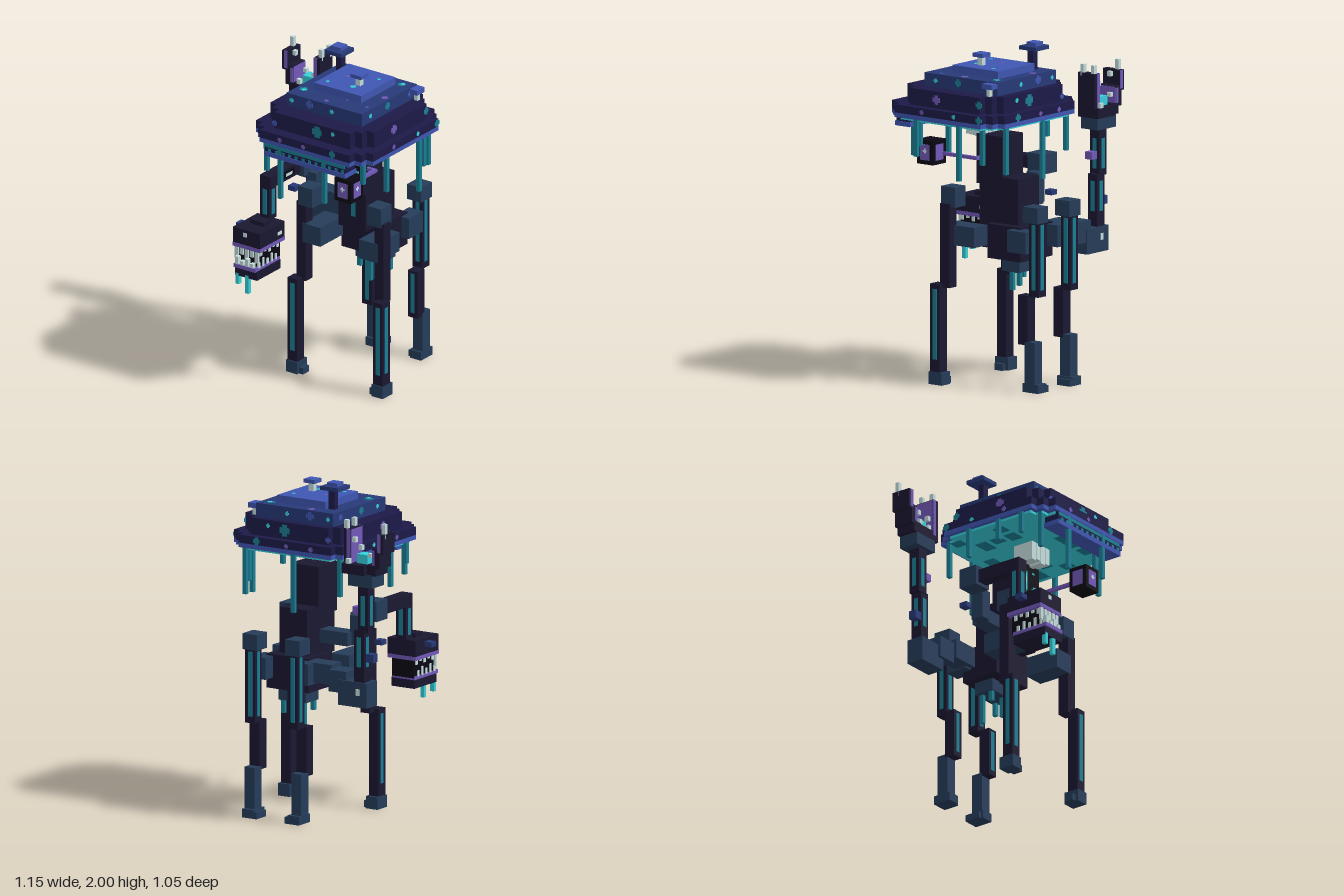
import * as THREE from 'three';

const make = (name, color) => {
  const m = new THREE.MeshStandardMaterial({ color });
  m.name = name;
  return m;
};

export function createModel() {
  const model = new THREE.Group();
  model.name = 'mushroomCreature';
  const navy = make('navy', 0x1c1a48), blue = make('blue', 0x273977), bright = make('brightBlue', 0x3f56b2);
  const dark = make('darkHide', 0x1a1830), slate = make('slate', 0x263c59), teal = make('teal', 0x1a7f94);
  const cyan = make('cyan', 0x37d0da), purple = make('purple', 0x7158b8), pale = make('pale', 0xc6dddd);
  const black = make('black', 0x0a0913);

  const group = (name) => {
    const g = new THREE.Group();
    g.name = name;
    model.add(g);
    return g;
  };
  // box given by its minimum and maximum on each axis
  const box = (g, name, mat, x0, x1, y0, y1, z0, z1) => {
    const m = new THREE.Mesh(new THREE.BoxGeometry(x1 - x0, y1 - y0, z1 - z0), mat);
    m.position.set((x0 + x1) / 2, (y0 + y1) / 2, (z0 + z1) / 2);
    m.name = name;
    g.add(m);
  };
  // slab with corners cut in two square steps
  const slab = (g, name, mat, x0, x1, y0, y1, z0, z1, s) => {
    const w = (x1 - x0) / 2, d = (z1 - z0) / 2;
    const corner = [[w, d - 2 * s], [w - s, d - 2 * s], [w - s, d - s], [w - 2 * s, d - s], [w - 2 * s, d]];
    const rev = [...corner].reverse();
    const pts = [
      ...corner, ...rev.map(([x, y]) => [-x, y]),
      ...corner.map(([x, y]) => [-x, -y]), ...rev.map(([x, y]) => [x, -y]),
    ].map(([x, y]) => new THREE.Vector2(x, y));
    const geo = new THREE.ExtrudeGeometry(new THREE.Shape(pts), { depth: y1 - y0, bevelEnabled: false });
    geo.rotateX(-Math.PI / 2);
    const m = new THREE.Mesh(geo, mat);
    m.position.set((x0 + x1) / 2, y0, (z0 + z1) / 2);
    m.name = name;
    g.add(m);
  };
  // glowing stripes on all four sides of an upright limb
  const stripes = (g, x0, x1, y0, y1, z0, z1, w = 0.03) => {
    const x = (x0 + x1) / 2, z = (z0 + z1) / 2, e = 0.002;
    box(g, 'stripe', teal, x - w / 2, x + w / 2, y0, y1, z0 - e, z1 + e);
    box(g, 'stripe', teal, x0 - e, x1 + e, y0, y1, z - w / 2, z + w / 2);
  };

  // cap in stepped tiers
  const cap = group('cap');
  slab(cap, 'underside', cyan, -0.25, 0.55, 1.565, 1.585, -0.35, 0.45, 0.05);
  slab(cap, 'rim', bright, -0.275, 0.575, 1.58, 1.607, -0.375, 0.475, 0.05);
  slab(cap, 'brim', navy, -0.275, 0.575, 1.607, 1.655, -0.375, 0.475, 0.05);
  slab(cap, 'lowerTier', navy, -0.225, 0.525, 1.655, 1.755, -0.325, 0.4, 0.05);
  box(cap, 'middleTier', blue, -0.125, 0.42, 1.755, 1.835, -0.275, 0.275);
  box(cap, 'topTier', bright, -0.02, 0.32, 1.835, 1.88, -0.2, 0.145);
  box(cap, 'frontDrape', navy, -0.14, 0.44, 1.525, 1.58, 0.37, 0.47);
  box(cap, 'drapeEdge', bright, -0.145, 0.445, 1.5, 1.528, 0.365, 0.475);
  for (let i = 0; i < 12; i++) {
    const x = -0.115 + i * 0.048;
    box(cap, 'drapeSpot', teal, x, x + 0.02, 1.53, 1.548, 0.468, 0.473);
  }
  box(cap, 'drapeBand', teal, -0.14, 0.44, 1.557, 1.578, 0.468, 0.473);
  // darker blotches under the cap
  for (let i = 0; i < 7; i++) {
    for (let j = 0; j < 6; j++) {
      if ((i * 3 + j * 5 + i * j) % 7 > 2) continue;
      const x = -0.2 + i * 0.105, z = -0.29 + j * 0.105, w = 0.07 + 0.02 * ((i + j) % 3);
      box(cap, 'undersideBlotch', teal, x, x + w, 1.562, 1.567, z, z + 0.08);
    }
  }

  // cross-shaped spots on the top: x, z, y, size, colour
  for (const [x, z, y, s, mat] of [[0.05, -0.24, 1.835, 0.04, purple], [0.35, -0.215, 1.835, 0.045, teal],
    [0.358, -0.22, 1.837, 0.028, cyan], [-0.075, 0.175, 1.835, 0.052, teal], [-0.065, 0.185, 1.837, 0.028, cyan],
    [0.135, 0.235, 1.835, 0.026, purple], [0.385, 0, 1.835, 0.04, purple], [0.2, 0.06, 1.88, 0.035, cyan],
    [0.26, -0.115, 1.88, 0.022, cyan], [0.035, 0.085, 1.88, 0.022, cyan], [0.085, -0.04, 1.88, 0.024, purple],
    [0.385, 0.175, 1.835, 0.022, bright], [0.23, 0.16, 1.835, 0.018, bright]]) {
    const h = s / 2, q = s / 4;
    box(cap, 'topSpot', mat, x - h, x + h, y - 0.002, y + 0.002, z - q, z + q);
    box(cap, 'topSpot', mat, x - q, x + q, y - 0.002, y + 0.002, z - h, z + h);
  }
  // cross-shaped spots on the tier walls: position along the wall, y, size, colour
  const wallSpots = (alongX, list) => {
    for (const [u, y, s, mat] of list) {
      const [x0, x1, z0, z1] = y > 1.755 ? [-0.125, 0.42, -0.275, 0.275]
        : y > 1.655 ? [-0.225, 0.525, -0.325, 0.4] : [-0.275, 0.575, -0.375, 0.475];
      for (const [a, b] of [[s / 2, s / 4], [s / 4, s / 2]]) {
        for (const p of alongX ? [z0, z1] : [x0, x1]) {
          if (alongX) box(cap, 'wallSpot', mat, u - a, u + a, y - b, y + b, p - 0.002, p + 0.002);
          else box(cap, 'wallSpot', mat, p - 0.002, p + 0.002, y - b, y + b, u - a, u + a);
        }
      }
    }
  };
  wallSpots(true, [[-0.09, 1.795, 0.026, cyan], [0.04, 1.8, 0.05, bright], [0.2, 1.795, 0.026, cyan],
    [0.185, 1.705, 0.07, teal], [-0.12, 1.685, 0.035, bright], [0.3, 1.72, 0.026, cyan],
    [0.35, 1.63, 0.045, teal], [-0.03, 1.625, 0.03, purple], [0.14, 1.625, 0.026, purple]]);
  wallSpots(false, [[0.1, 1.705, 0.055, purple], [0.02, 1.8, 0.045, teal], [0.19, 1.795, 0.026, cyan],
    [-0.2, 1.8, 0.035, bright], [-0.22, 1.71, 0.045, teal], [-0.26, 1.63, 0.045, teal],
    [0.17, 1.63, 0.03, purple], [-0.07, 1.63, 0.026, cyan]]);

  // small mushrooms growing on the cap
  box(cap, 'sproutStem', navy, -0.07, -0.03, 1.83, 1.955, -0.18, -0.14);
  box(cap, 'sproutBrim', blue, -0.125, 0, 1.955, 1.978, -0.225, -0.1);
  box(cap, 'sproutTop', bright, -0.1, -0.03, 1.978, 2, -0.2, -0.13);
  box(cap, 'sproutStem', pale, 0.195, 0.23, 1.88, 1.93, -0.005, 0.03);
  box(cap, 'sproutTop', bright, 0.175, 0.25, 1.93, 1.953, -0.025, 0.05);
  box(cap, 'cornerSprout', bright, 0.42, 0.475, 1.8, 1.83, -0.275, -0.2);
  box(cap, 'cornerSproutStem', pale, 0.435, 0.46, 1.74, 1.8, -0.25, -0.225);

  // hanging tendrils: x, z, lowest y
  const tendrils = group('tendrils');
  for (const [x, z, y] of [[-0.035, 0.462, 1.25], [0.285, 0.462, 1.3], [-0.26, 0.29, 1.45], [-0.19, 0.38, 1.36],
    [-0.26, 0.12, 1.45], [-0.26, -0.1, 1.4], [0.56, 0.22, 1.36], [0.56, -0.1, 1.25], [0.44, -0.355, 1.3],
    [0.1, -0.355, 1.23], [-0.19, -0.3, 1.35], [0.44, 0.29, 1.4], [0.5, -0.23, 1.35]]) {
    box(tendrils, 'tendril', teal, x - 0.0125, x + 0.0125, y, 1.6, z - 0.0125, z + 0.0125);
  }

  // head, neck and torso
  const body = group('body');
  box(body, 'head', dark, 0.05, 0.245, 1.18, 1.475, -0.17, 0.025);
  box(body, 'face', black, 0.055, 0.24, 1.2, 1.47, 0.02, 0.028);
  box(body, 'neck', dark, 0.05, 0.245, 0.94, 1.235, -0.29, -0.12);
  box(body, 'chest', dark, 0.05, 0.245, 0.94, 1.19, -0.14, 0);
  box(body, 'chestStripe', teal, 0.145, 0.175, 1.02, 1.18, -0.003, 0.003);
  box(body, 'torso', dark, 0, 0.295, 0.755, 0.96, -0.35, -0.1);
  box(body, 'belly', slate, 0.05, 0.245, 0.68, 0.755, -0.3, -0.17);
  for (const [x, z, y] of [[0.085, -0.27, 0.5], [0.185, -0.2, 0.56], [0.22, -0.28, 0.6], [0.07, -0.19, 0.62]]) {
    box(body, 'bellyTendril', teal, x - 0.0125, x + 0.0125, y, 0.7, z - 0.0125, z + 0.0125);
  }
  for (const [x, y, h] of [[0.1, 1.355, 0.075], [0.2, 1.28, 0.05]]) {
    box(body, 'eye', cyan, x - 0.018, x + 0.018, y - h, y + h, 0.026, 0.032);
    box(body, 'eye', cyan, x - 0.03, x + 0.03, y - h + 0.015, y + h - 0.015, 0.026, 0.031);
    box(body, 'eyeGlint', pale, x - 0.012, x + 0.014, y - 0.02, y + 0.02, 0.03, 0.034);
  }
  box(body, 'browSpot', cyan, 0.175, 0.195, 1.41, 1.42, 0.026, 0.031);
  for (let i = 0; i < 4; i++) {
    const x = 0.065 + i * 0.042;
    box(body, 'crest', pale, x, x + 0.038, 1.45 + 0.012 * (i % 2), 1.57, -0.02, 0.115);
  }

  // lantern eye on a stalk
  const lantern = group('lanternEye');
  box(lantern, 'stalk', purple, 0.24, 0.31, 1.33, 1.35, -0.03, -0.01);
  box(lantern, 'stalk', purple, 0.29, 0.31, 1.33, 1.35, -0.03, 0.24);
  box(lantern, 'casing', black, 0.275, 0.395, 1.28, 1.425, 0.23, 0.35);
  box(lantern, 'lens', purple, 0.3, 0.37, 1.305, 1.4, 0.227, 0.353);
  box(lantern, 'lens', purple, 0.272, 0.398, 1.305, 1.4, 0.255, 0.325);
  for (const [a, b] of [[0.005, 0.015], [0.015, 0.005]]) {
    box(lantern, 'glint', pale, 0.335 - a, 0.335 + a, 1.36 - b, 1.36 + b, 0.35, 0.356);
    box(lantern, 'glint', pale, 0.395, 0.401, 1.36 - b, 1.36 + b, 0.29 - a, 0.29 + a);
  }

  // legs, mirrored about the body's middle at x = 0.15
  for (const side of [-1, 1]) {
    const leg = (name) => {
      const g = group(name);
      const span = (a, c) => [0.15 + side * a, 0.15 + side * c].sort((p, q) => p - q);
      return [(part, mat, a, c, ...r) => box(g, part, mat, ...span(a, c), ...r), (a, c, ...r) => stripes(g, ...span(a, c), ...r)];
    };
    const [f] = leg('frontLeg');
    f('hip', slate, 0.14, 0.27, 0.83, 0.95, -0.1, 0.125);
    f('knee', slate, 0.2, 0.3, 1.06, 1.18, 0.02, 0.125);
    f('upperLeg', dark, 0.25, 0.315, 0.58, 1.08, 0.05, 0.12);
    f('lowerLeg', dark, 0.275, 0.345, 0.05, 0.6, 0.1, 0.17);
    f('frontStripe', teal, 0.295, 0.325, 0.14, 0.57, 0.165, 0.172);
    f('outerStripe', teal, 0.34, 0.347, 0.15, 0.57, 0.12, 0.15);
    f('foot', slate, 0.27, 0.35, 0, 0.075, 0.08, 0.178);
    f('toe', slate, 0.24, 0.27, 0, 0.04, 0.1, 0.16);
    const [k, ks] = leg('backLeg');
    k('hip', slate, 0.1, 0.2, 0.82, 0.95, -0.43, -0.29);
    k('hipCap', slate, 0.1, 0.2, 1.01, 1.105, -0.52, -0.41);
    k('upperLeg', dark, 0.115, 0.185, 0.57, 1.03, -0.515, -0.445);
    ks(0.115, 0.185, 0.61, 1.0, -0.515, -0.445);
    k('middleLeg', dark, 0.13, 0.2, 0.28, 0.575, -0.445, -0.375);
    k('stripe', teal, 0.15, 0.18, 0.31, 0.56, -0.38, -0.373);
    k('lowerLeg', slate, 0.13, 0.2, 0.03, 0.3, -0.5, -0.425);
    k('foot', slate, 0.12, 0.2, 0, 0.052, -0.525, -0.41);
    k('toe', slate, 0.1, 0.12, 0, 0.04, -0.525, -0.425);
  }

  // arm ending in a toothed jaw
  const jaw = group('jawArm');
  box(jaw, 'shoulder', slate, -0.325, -0.2, 1.18, 1.3, -0.12, 0);
  box(jaw, 'shoulderLink', slate, -0.15, 0.06, 1.02, 1.1, -0.16, -0.06);
  box(jaw, 'shoulderPost', slate, -0.21, -0.14, 1.02, 1.2, -0.12, -0.04);
  box(jaw, 'upperArm', dark, -0.3, -0.225, 1.2, 1.275, 0, 0.3);
  box(jaw, 'armPatch', black, -0.23, -0.223, 1.215, 1.26, 0.06, 0.22);
  box(jaw, 'armSpot', pale, -0.225, -0.221, 1.225, 1.243, 0.085, 0.145);
  box(jaw, 'forearm', dark, -0.3, -0.23, 1, 1.235, 0.23, 0.3);
  stripes(jaw, -0.3, -0.23, 1.03, 1.19, 0.23, 0.3);
  box(jaw, 'snout', dark, -0.3, -0.2, 1, 1.025, 0.33, 0.4);
  box(jaw, 'upperJaw', dark, -0.35, -0.155, 0.9, 1, 0.255, 0.5);
  box(jaw, 'upperGum', purple, -0.352, -0.153, 0.88, 0.903, 0.253, 0.502);
  box(jaw, 'mouth', black, -0.325, -0.175, 0.77, 0.885, 0.27, 0.485);
  box(jaw, 'lowerGum', purple, -0.328, -0.17, 0.757, 0.78, 0.278, 0.525);
  box(jaw, 'lowerJaw', dark, -0.326, -0.165, 0.705, 0.76, 0.28, 0.515);
  for (let i = 0; i < 5; i++) {
    const x = -0.34 + i * 0.036, z = 0.29 + i * 0.042, h = i % 2 ? 0.045 : 0.075;
    box(jaw, 'upperTooth', pale, x, x + 0.024, 0.88 - h, 0.885, 0.483, 0.497);
    if (i < 4) box(jaw, 'lowerTooth', pale, x + 0.02, x + 0.044, 0.775, 0.775 + h * 0.7, 0.497, 0.523);
    for (const s of [-0.332, -0.178]) {
      box(jaw, 'sideTooth', pale, s, s + 0.01, 0.885 - h * 0.5, 0.885, z, z + 0.02);
      box(jaw, 'sideTooth', pale, s, s + 0.01, 0.775, 0.855 - h * 0.6, z + 0.02, z + 0.037);
    }
  }
  for (const [x, y] of [[-0.31, 0.65], [-0.24, 0.605]]) box(jaw, 'drool', cyan, x - 0.0125, x + 0.0125, y, 0.72, 0.49, 0.515);
  box(jaw, 'sprout', blue, -0.4, -0.345, 0.95, 0.98, 0.35, 0.4);
  box(jaw, 'shoulderSprout', blue, -0.35, -0.3, 1.04, 1.07, -0.1, -0.05);
  box(jaw, 'jawSpot', pale, -0.156, -0.151, 0.93, 0.95, 0.285, 0.325);
  box(jaw, 'jawSpot', pale, -0.275, -0.25, 0.955, 0.98, 0.498, 0.503);

  // arm ending in an upright claw
  const claw = group('clawArm');
  box(claw, 'shoulderLink', slate, -0.175, 0, 0.83, 0.95, -0.37, -0.26);
  box(claw, 'shoulder', slate, -0.3, -0.175, 0.8, 0.93, -0.4, -0.28);
  box(claw, 'elbow', slate, -0.45, -0.25, 0.73, 0.88, -0.41, -0.3);
  box(claw, 'elbowSpot', pale, -0.4, -0.375, 0.8, 0.84, -0.412, -0.405);
  box(claw, 'forearm', dark, -0.425, -0.355, 0.87, 1.19, -0.4, -0.33);
  stripes(claw, -0.425, -0.355, 0.97, 1.15, -0.4, -0.33);
  box(claw, 'upperForearm', dark, -0.45, -0.38, 1.18, 1.47, -0.395, -0.325);
  stripes(claw, -0.45, -0.38, 1.22, 1.4, -0.395, -0.325);
  box(claw, 'sprout', blue, -0.475, -0.425, 1, 1.05, -0.38, -0.33);
  box(claw, 'purpleSprout', purple, -0.38, -0.33, 1.28, 1.325, -0.38, -0.33);
  box(claw, 'wrist', slate, -0.5, -0.33, 1.46, 1.54, -0.425, -0.3);
  box(claw, 'palm', dark, -0.46, -0.3, 1.535, 1.595, -0.45, -0.3);
  box(claw, 'outerPalm', dark, -0.525, -0.46, 1.535, 1.6, -0.425, -0.3);
  box(claw, 'core', cyan, -0.45, -0.375, 1.59, 1.65, -0.4, -0.33);
  box(claw, 'outerFinger', dark, -0.55, -0.5, 1.58, 1.7, -0.425, -0.3);
  box(claw, 'outerFingerTip', dark, -0.575, -0.535, 1.67, 1.79, -0.425, -0.3);
  box(claw, 'innerFinger', dark, -0.345, -0.3, 1.55, 1.8, -0.425, -0.3);
  box(claw, 'innerLining', purple, -0.35, -0.345, 1.57, 1.795, -0.42, -0.305);
  box(claw, 'outerLining', purple, -0.5, -0.495, 1.6, 1.695, -0.42, -0.305);
  for (const z of [-0.425, -0.3]) {
    box(claw, 'innerEdge', purple, -0.345, -0.322, 1.57, 1.8, z - 0.003, z + 0.003);
    box(claw, 'outerEdge', purple, -0.56, -0.536, 1.68, 1.79, z - 0.003, z + 0.003);
    box(claw, 'outerEdge', purple, -0.518, -0.5, 1.6, 1.69, z - 0.003, z + 0.003);
  }
  // pale nails and teeth: x, y, z, height
  for (const [x, y, z, h] of [[-0.5625, 1.76, -0.39, 0.09], [-0.3125, 1.78, -0.41, 0.07], [-0.3125, 1.78, -0.33, 0.07],
    [-0.475, 1.64, -0.4, 0.025], [-0.46, 1.6, -0.312, 0.03], [-0.525, 1.75, -0.36, 0.03], [-0.362, 1.72, -0.4, 0.03],
    [-0.362, 1.66, -0.33, 0.03], [-0.34, 1.595, -0.437, 0.03], [-0.38, 1.595, -0.312, 0.025]]) {
    box(claw, 'nail', pale, x - 0.0125, x + 0.0125, y, y + h, z - 0.0125, z + 0.0125);
  }
  return model;
}
